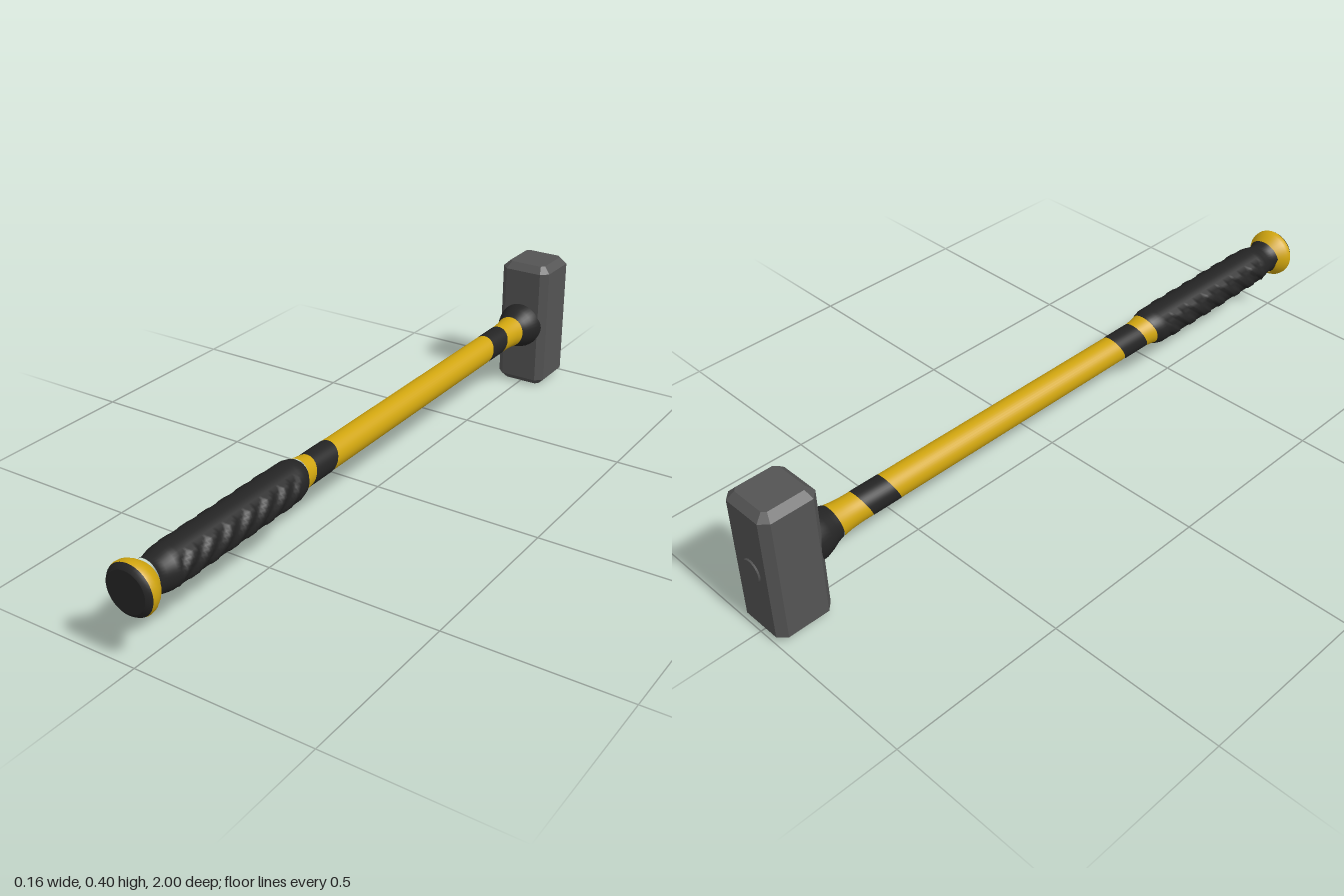
import * as THREE from 'three';

const yellow = new THREE.MeshStandardMaterial({ color: 0xd0a50f });
const black = new THREE.MeshStandardMaterial({ color: 0x242424 });
const steel = new THREE.MeshStandardMaterial({ color: 0x545454 });
yellow.name = 'yellow'; black.name = 'black rubber'; steel.name = 'grey steel';

const AXIS_X = -0.003, AXIS_Y = 0.202, SIDES = 40;

// Round section along z from [z, radius] stations; slant leans its ends,
// bump(z, angle) adds to the radius.
function section(name, material, stations, slant = 0, bump = () => 0) {
  const pos = [], index = [];
  for (const [z, r] of stations) {
    for (let j = 0; j < SIDES; j++) {
      const a = j / SIDES * Math.PI * 2;
      const rr = r + (r > 0 ? bump(z, a) : 0);
      pos.push(rr * Math.cos(a), rr * Math.sin(a), z - slant * Math.sin(a));
    }
  }
  for (let i = 0; i < stations.length - 1; i++) {
    for (let j = 0; j < SIDES; j++) {
      const k = (j + 1) % SIDES, a = i * SIDES + j, b = i * SIDES + k;
      index.push(a, b, b + SIDES, a, b + SIDES, a + SIDES);
    }
  }
  const g = new THREE.BufferGeometry();
  g.setAttribute('position', new THREE.Float32BufferAttribute(pos, 3));
  g.setIndex(index);
  g.computeVertexNormals();
  const mesh = new THREE.Mesh(g, material);
  mesh.name = name;
  mesh.position.set(AXIS_X, AXIS_Y, 0);
  return mesh;
}

// Slanted ridges on both flanks of the grip
function gripRidges(z, a) {
  const flank = Math.abs(Math.cos(a));
  if (z < 0.43 || z > 0.87 || flank < 0.72) return 0;
  return Math.sin((z + 0.05 * Math.sin(a)) * 2 * Math.PI / 0.07) > 0 ? 0.003 : -0.003;
}

function gripStations() {
  const list = [[0.375, 0.042], [0.385, 0.05], [0.405, 0.055]];
  for (let z = 0.42; z < 0.88; z += 0.0075) list.push([z, 0.055]);
  return list.concat([[0.89, 0.053], [0.915, 0.047], [0.935, 0.048], [0.947, 0.054]]);
}

// Steel block with every edge chamfered
function head() {
  const x = 0.06, z = 0.0615, c = 0.01;
  const outline = new THREE.Shape([
    [x - c, -z], [x, -z + c], [x, z - c], [x - c, z],
    [-x + c, z], [-x, z - c], [-x, -z + c], [-x + c, -z],
  ].map(([u, v]) => new THREE.Vector2(u, v)));
  const g = new THREE.ExtrudeGeometry(outline, {
    depth: 0.36, bevelEnabled: true, bevelSize: 0.02, bevelThickness: 0.02, bevelSegments: 1,
  });
  g.rotateX(-Math.PI / 2);
  const mesh = new THREE.Mesh(g, steel);
  mesh.name = 'hammerHead';
  mesh.position.set(-0.001, 0.02, -0.9145);
  return mesh;
}

export function createModel() {
  const model = new THREE.Group();
  model.name = 'sledgehammer';
  const lean = 0.018;

  model.add(head());

  // End of the handle showing in the back of the head
  const eye = new THREE.Mesh(new THREE.CylinderGeometry(0.03, 0.034, 0.006, 24), steel);
  eye.name = 'handleEye';
  eye.rotation.x = -Math.PI / 2;
  eye.position.set(AXIS_X, AXIS_Y, -0.997);
  model.add(eye);

  // Handle, from the head to the pommel
  model.add(
    section('collar', black, [[-0.85, 0.07], [-0.825, 0.068], [-0.80, 0.06], [-0.78, 0.051], [-0.762, 0.046]], 0.006),
    section('neckBand', yellow, [[-0.762, 0.046], [-0.735, 0.042], [-0.70, 0.04], [-0.668, 0.04]].map(
      ([z, r]) => [z, r]), lean * 0.6),
    section('rearStripe', black, [[-0.672, 0.0405], [-0.583, 0.0405]], lean),
    section('shaft', yellow, [[-0.69, 0.039], [-0.585, 0.039], [-0.583, 0.04], [0.247, 0.04]], lean),
    section('frontStripe', black, [[0.247, 0.041], [0.341, 0.041]], lean),
    section('gripBand', yellow, [[0.24, 0.039], [0.335, 0.039], [0.341, 0.041], [0.36, 0.043], [0.385, 0.048]], lean),
    section('grip', black, gripStations(), lean * 0.6, gripRidges),
    section('pommelFlare', yellow, [[0.94, 0.05], [0.955, 0.062], [0.97, 0.07], [0.982, 0.071], [0.988, 0.069]]),
    section('pommelRim', black, [[0.988, 0.069], [0.995, 0.064], [1, 0.056]]),
    section('pommelCap', black, [[1, 0.056], [1, 0]]),
  );
  return model;
}
